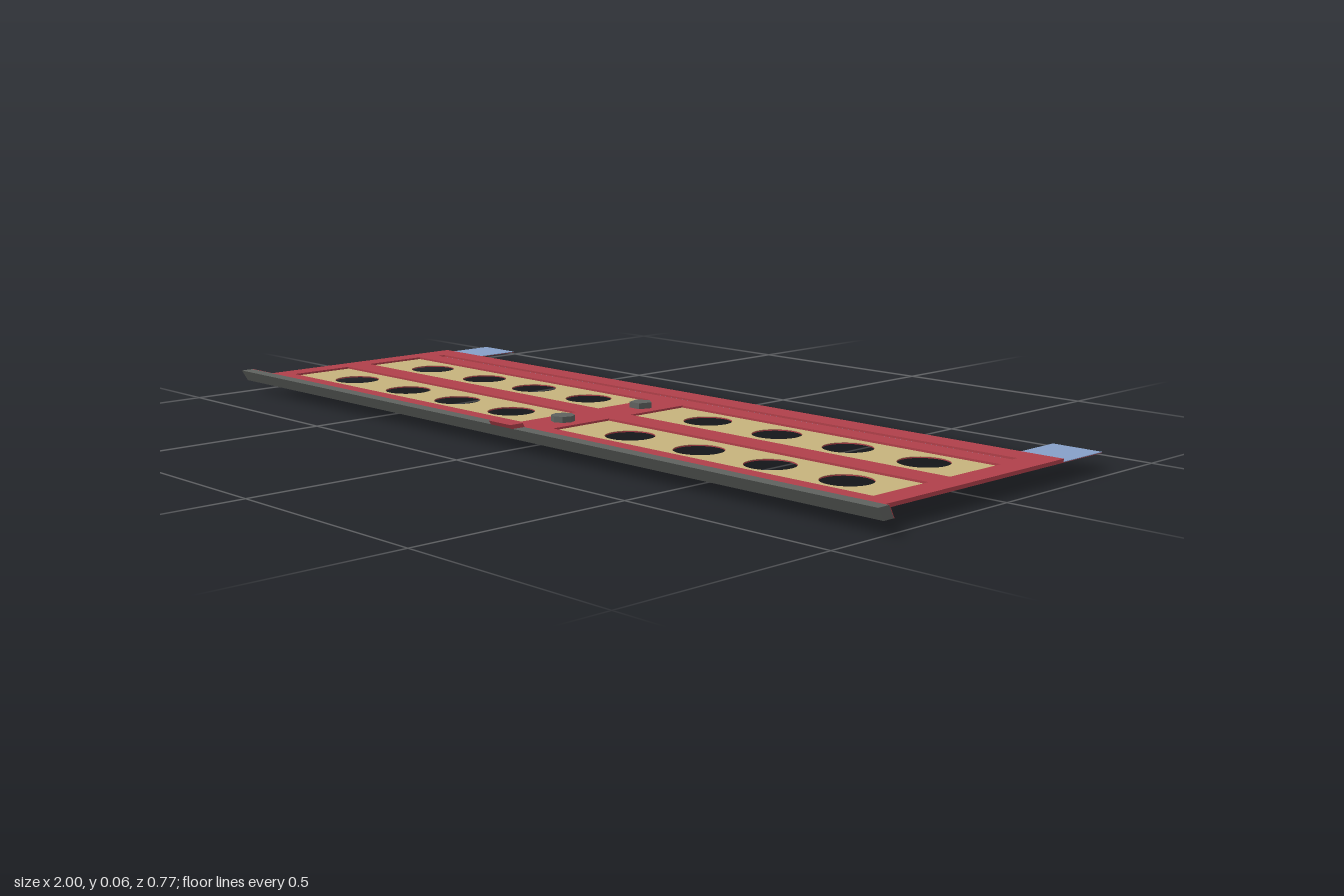
import * as THREE from 'three';

const mat = (color) => new THREE.MeshStandardMaterial({ color, flatShading: true });

export function createModel() {
  const model = new THREE.Group();
  const red = mat(0xb0404a), tan = mat(0xc6b37c), blue = mat(0x86a0c8), grey = mat(0x5f625f);

  const add = (name, geometry, material) => {
    const mesh = new THREE.Mesh(geometry, material);
    mesh.name = name;
    model.add(mesh);
    return mesh;
  };

  // Rectangle in plan, given as x and z ranges
  const rect = (Type, x0, x1, z0, z1) => new Type([
    [x0, -z1], [x1, -z1], [x1, -z0], [x0, -z0],
  ].map(([x, y]) => new THREE.Vector2(x, y)));

  // Horizontal sheet between heights y0 and y1
  const sheet = (name, range, holes, y0, y1, material) => {
    const shape = rect(THREE.Shape, ...range);
    shape.holes.push(...holes);
    const g = new THREE.ExtrudeGeometry(shape, { depth: y1 - y0, bevelEnabled: false, curveSegments: 24 });
    g.rotateX(-Math.PI / 2).translate(0, y0, 0);
    return add(name, g, material);
  };

  // Profile of [z, y] points drawn out from x0 to x1
  const prism = (name, points, x0, x1, material) => {
    const shape = new THREE.Shape(points.map(([z, y]) => new THREE.Vector2(z, y)));
    const g = new THREE.ExtrudeGeometry(shape, { depth: x1 - x0, bevelEnabled: false });
    g.rotateY(-Math.PI / 2).translate(x1, 0, 0);
    return add(name, g, material);
  };

  // Two rows of two recessed panels, four round holes in each
  const panels = [];
  for (const [z0, z1, zc] of [[-0.105, 0.055, -0.032], [0.12, 0.28, 0.2]]) {
    panels.push({ range: [-0.915, -0.055, z0, z1], xs: [-0.765, -0.56, -0.374, -0.182], zc });
    panels.push({ range: [0.05, 0.91, z0, z1], xs: [0.2, 0.4, 0.592, 0.783], zc });
  }
  const roundHoles = (p) => p.xs.map((x) => new THREE.Path().absarc(x, -p.zc, 0.053, 0, Math.PI * 2, true));
  const slot = [-0.9, 0.9, -0.175, -0.157];
  const plate = [-0.965, 0.965, -0.235, 0.34];

  // Main plate: pierced base, raised frame, coloured recess floors
  sheet('plateBase', plate, panels.flatMap(roundHoles), 0.035, 0.0375, red);
  sheet('plateFrame', plate,
    [...panels.map((p) => p.range), slot].map((r) => rect(THREE.Path, ...r)), 0.0375, 0.043, red);
  for (const p of panels) sheet('panelFloor', p.range, roundHoles(p), 0.0375, 0.0385, tan);
  sheet('slotFloor', slot, [], 0.0375, 0.0385, blue);

  // Thin rear strip and corner tabs, coloured on top only
  for (const [name, range] of [
    ['rearStrip', [-0.85, 0.85, -0.25, -0.235]],
    ['rightTab', [-0.965, -0.85, -0.37, -0.235]],
    ['leftTab', [0.85, 0.965, -0.37, -0.235]],
  ]) {
    sheet(name + 'Underside', range, [], 0.035, 0.036, red);
    sheet(name, range, [], 0.036, 0.0372, blue);
  }

  // Sloping rear flap
  prism('flapUnderside', [[-0.235, 0.0345], [-0.235, 0.0365], [-0.384, 0.0025], [-0.378, 0]], -0.845, 0.842, red);
  prism('flap', [[-0.235, 0.0365], [-0.235, 0.037], [-0.385, 0.0032], [-0.384, 0.0025]], -0.845, 0.842, tan);

  // Slanted front bar with its rear lining and centre clip
  prism('frontBar', [[0.334, 0.027], [0.362, 0.027], [0.378, 0.053], [0.348, 0.053]], -1, 1, grey);
  prism('barLining', [[0.332, 0.027], [0.334, 0.027], [0.348, 0.053], [0.346, 0.053]], -1, 1, red);
  prism('centreClip', [[0.346, 0.053], [0.379, 0.053], [0.385, 0.062], [0.351, 0.062]], -0.035, 0.035, red);

  // Centre knobs
  for (const [z, sides] of [[-0.025, 5], [0.208, 8]]) {
    const knob = add('knob', new THREE.CylinderGeometry(0.026, 0.026, 0.014, sides), grey);
    knob.position.set(0, 0.049, z);
    knob.rotation.y = Math.PI;
  }
  return model;
}
